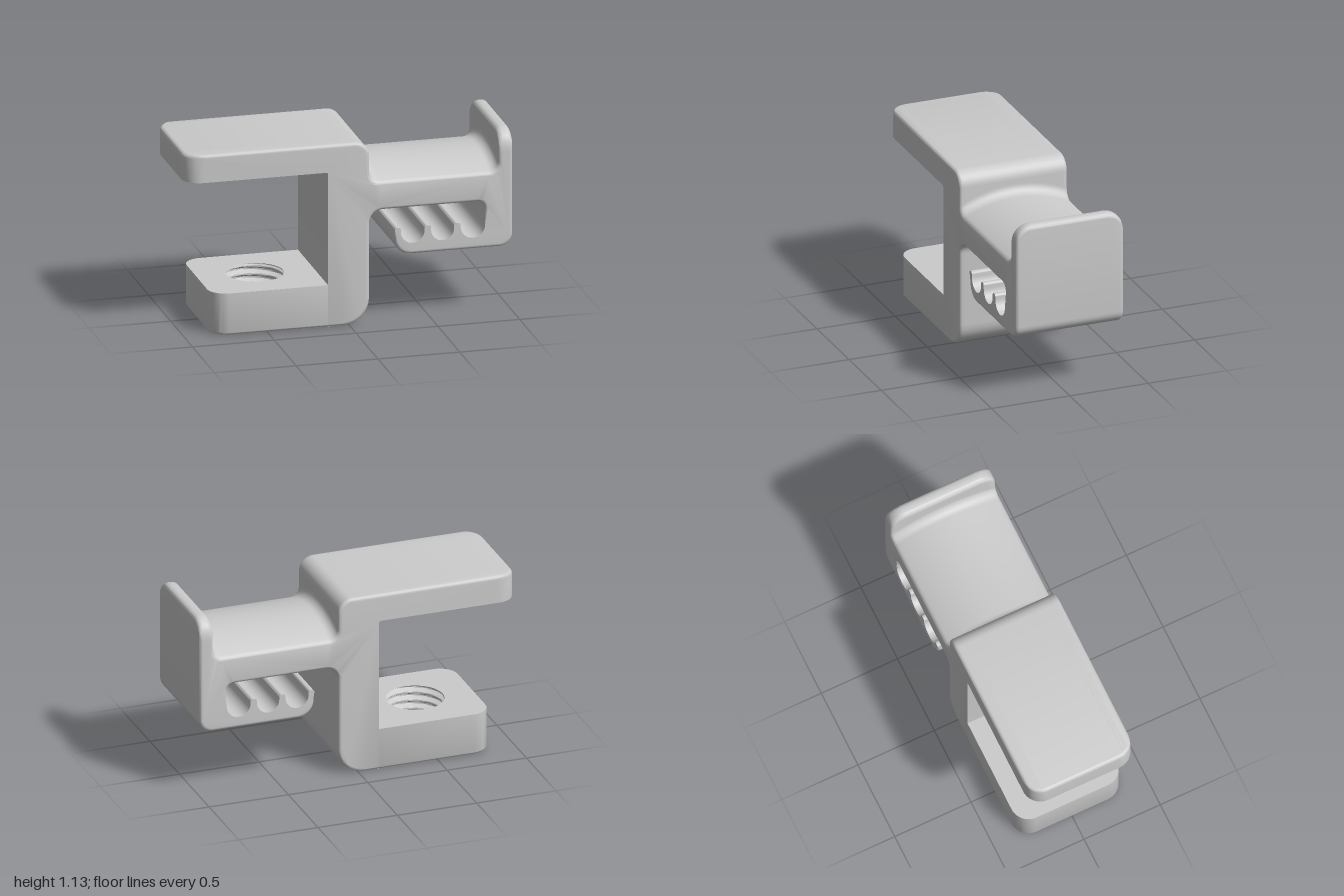
import * as THREE from 'three';
import { toCreasedNormals } from 'three/addons/utils/BufferGeometryUtils.js';

const HW = 0.345;      // half width in z
const R = 0.11;        // large corner radius
const F = 0.02;        // small edge fillet
const material = new THREE.MeshStandardMaterial({ color: 0xcccccc });

// How far a quarter-round of radius r recedes at distance d from the side it meets
const recede = (d, r) => (d >= r ? 0 : r - Math.sqrt(Math.max(0, r * r - (r - d) ** 2)));

// Rounds a right-angled outline of [x, y, radius, tag]; each point keeps its outward normal
function roundOutline(corners, steps = 8) {
  const out = [];
  corners.forEach(([x, y, r, tag = ''], i) => {
    const a = corners[(i + corners.length - 1) % corners.length];
    const b = corners[(i + 1) % corners.length];
    if (r === 0) {
      out.push({ x, y, nx: 0, ny: tag === 'foot' ? -1 : 0, tag });
      return;
    }
    const u = new THREE.Vector2(a[0] - x, a[1] - y).normalize();
    const v = new THREE.Vector2(b[0] - x, b[1] - y).normalize();
    const sign = u.cross(v) < 0 ? 1 : -1;
    for (let k = 0; k <= steps; k++) {
      const t = (k / steps) * Math.PI / 2;
      const dx = -(v.x * Math.cos(t) + u.x * Math.sin(t));
      const dy = -(v.y * Math.cos(t) + u.y * Math.sin(t));
      out.push({
        x: x + (u.x + v.x + dx) * r, y: y + (u.y + v.y + dy) * r,
        nx: dx * sign, ny: dy * sign, tag,
      });
    }
  });
  return out;
}

// Clockwise circle, so that a loft through it faces inward
function circle(radiusAt, cx, n = 64) {
  return Array.from({ length: n }, (_, i) => {
    const t = -(i / n) * Math.PI * 2, r = radiusAt(-t);
    return new THREE.Vector2(cx + r * Math.cos(t), r * Math.sin(t));
  });
}

// Skins matching loops stacked along z; capHoles = [first, last] closes the ends
function loft(loops, heights, capHoles, crease = 0.6) {
  const pos = [];
  const put = (p, z) => pos.push(p.x, p.y, z);
  for (let i = 0; i + 1 < loops.length; i++) {
    const lo = loops[i], hi = loops[i + 1], z0 = heights[i], z1 = heights[i + 1];
    lo.forEach((p, k) => {
      const m = (k + 1) % lo.length;
      put(p, z0); put(lo[m], z0); put(hi[m], z1);
      put(p, z0); put(hi[m], z1); put(hi[k], z1);
    });
  }
  if (capHoles) {
    [0, loops.length - 1].forEach((at, side) => {
      const holes = capHoles[side];
      const all = [...loops[at], ...holes.flat()];
      for (const f of THREE.ShapeUtils.triangulateShape(loops[at], holes)) {
        (side ? f : [f[0], f[2], f[1]]).forEach((k) => put(all[k], heights[at]));
      }
    });
  }
  const g = new THREE.BufferGeometry();
  g.setAttribute('position', new THREE.Float32BufferAttribute(pos, 3));
  return toCreasedNormals(g, crease);
}

function addMesh(group, name, geometry) {
  const mesh = new THREE.Mesh(geometry, material);
  mesh.name = name;
  group.add(mesh);
}

// Side outline: post, cable hook, end plate, saddle and upper arm
function bodyOutline() {
  const grooves = [];
  for (const [right, left] of [[0.83, 0.68], [0.64, 0.5], [0.46, 0.315]]) {
    const r = (right - left) / 2 - 0.001;
    if (right < 0.8) grooves.push([right, 0.58, 0.015, 'keep']);
    grooves.push([right, 0.48, r, 'keep'], [left, 0.48, r, 'keep'], [left, 0.58, 0.015, 'keep']);
  }
  return roundOutline([
    [-0.13, 0, 0, 'foot'], [0.125, 0, 0.16], [0.125, 0.7, 0.08], [0.83, 0.7, 0.045],
    ...grooves,
    [0.278, 0.58, 0.015, 'keep'], [0.278, 0.41, 0.1], [1, 0.41, 0.08],
    [1, 1.13, 0.03, 'plate'], [0.915, 1.13, 0.035, 'plate'],
    [0.915, 0.955, 0.06, 'saddle'], [0.125, 0.955, 0.06, 'saddle'],
    [0.125, 1.13, 0.09], [-1, 1.13, 0.025, 'tip'], [-1, 0.96, 0, 'tip'],
    [-0.13, 0.96, 0.012, 'keep'],
  ]);
}

function bodyGeometry() {
  const outline = bodyOutline();
  // Sections lie close together towards both sides, where the corners curve
  const half = [];
  for (let i = 0; i < 7; i++) half.push((i / 7) * (HW - R));
  for (let i = 0; i <= 14; i++) half.push(HW - R + R * Math.sin((i / 14) * Math.PI / 2));
  const zs = [...half.slice(1).reverse().map((z) => -z), ...half];
  const saddleR = 0.743;
  const loops = zs.map((z) => {
    const d = HW - Math.abs(z);
    const inset = recede(d, F), corner = recede(d, R);
    const drop = saddleR - Math.sqrt(saddleR * saddleR - z * z);
    return outline.map(({ x, y, nx, ny, tag }) => {
      const e = tag === 'keep' ? 0 : inset;
      const p = new THREE.Vector2(x - nx * e, y - ny * e);
      if (tag === 'tip') p.x += corner;
      if (tag === 'plate') p.y -= corner;
      if (tag === 'saddle') p.y -= drop;
      return p;
    });
  });
  return loft(loops, zs, [[], []]);
}

// Lower arm dimensions and its threaded hole
const ARM_H = 0.26, HOLE_X = -0.485, HOLE_TOP = 0.173, HOLE_BOTTOM = 0.198;

function lowerArmGeometry() {
  const plan = roundOutline([
    [-0.84, -HW, R], [-0.11, -HW, 0.005], [-0.11, HW, 0.005], [-0.84, HW, R],
  ], 12);
  const heights = [];
  for (let i = 0; i <= 5; i++) heights.push(F * (1 - Math.cos((i / 5) * Math.PI / 2)));
  heights.push(ARM_H);
  const loops = heights.map((h) => plan.map((p) => {
    const e = recede(h, F);
    return new THREE.Vector2(p.x - p.nx * e, p.y - p.ny * e);
  }));
  const holes = [HOLE_BOTTOM, HOLE_TOP].map((r) => [circle(() => r, HOLE_X)]);
  return loft(loops, heights, holes).rotateX(-Math.PI / 2);
}

// Helical thread, chamfered at the bottom and run out at the top
function threadGeometry() {
  const pitch = 0.052, rows = 70;
  const heights = Array.from({ length: rows + 1 }, (_, i) => (i / rows) * ARM_H);
  const loops = heights.map((h) => circle((angle) => {
    const turn = h / pitch + angle / (Math.PI * 2);
    const wave = Math.abs(2 * (turn - Math.floor(turn)) - 1);
    const r = 0.168 + 0.03 * THREE.MathUtils.clamp(1.8 * wave - 0.4, 0, 1);
    const fade = THREE.MathUtils.clamp((ARM_H - h) / 0.015, 0, 1);
    return Math.max(HOLE_TOP + (r - HOLE_TOP) * fade, HOLE_BOTTOM - h);
  }, HOLE_X));
  return loft(loops, heights, null, 0.5).rotateX(-Math.PI / 2);
}

export function createModel() {
  const group = new THREE.Group();
  group.name = 'clampHanger';
  addMesh(group, 'clampBodyAndHanger', bodyGeometry());
  addMesh(group, 'lowerArm', lowerArmGeometry());
  addMesh(group, 'screwThread', threadGeometry());
  return group;
}
